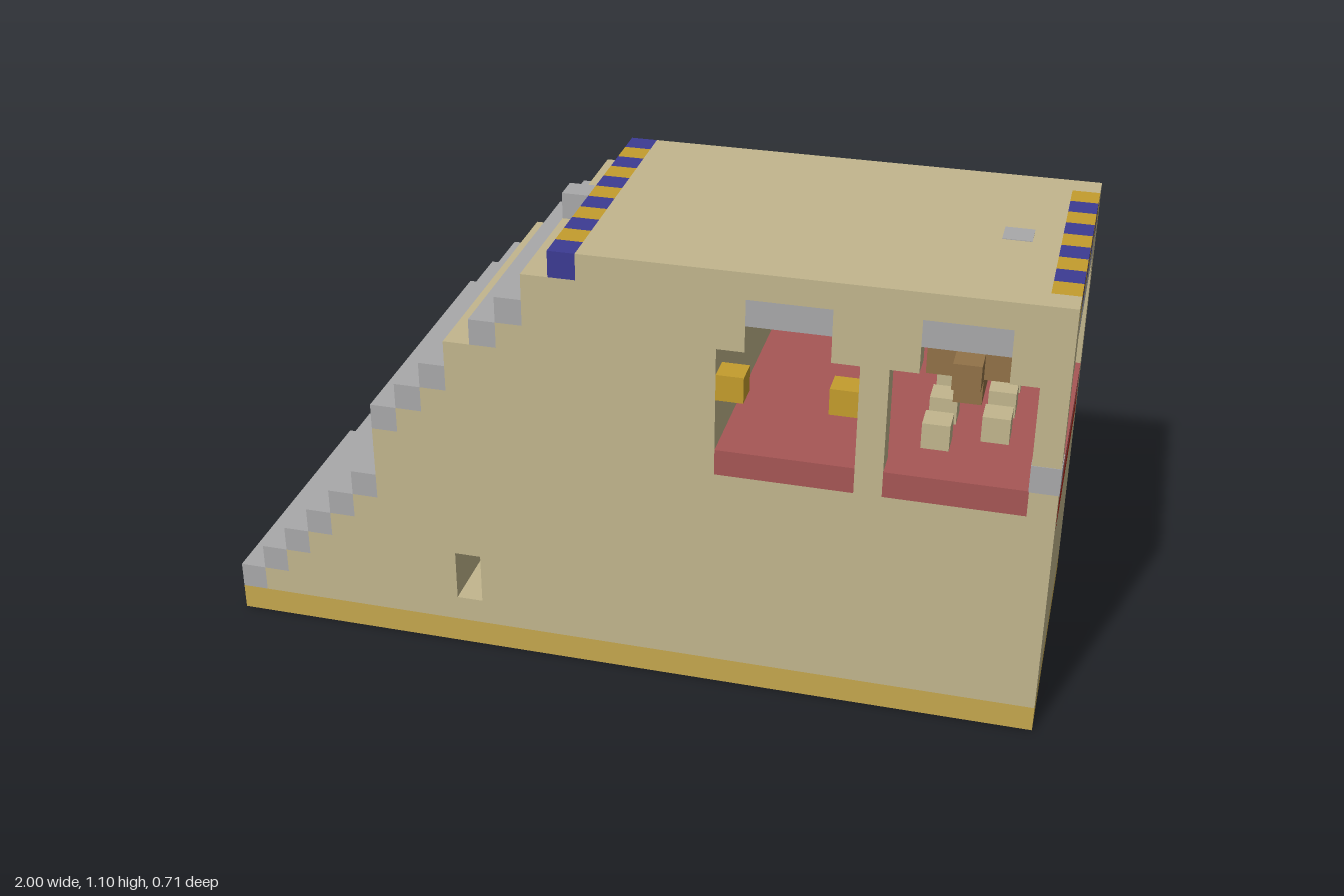
import * as THREE from 'three';

const U = 2 / 31; // one block; the model is 31 x 17 x 11 blocks

const paint = (name, color) => {
  const m = new THREE.MeshStandardMaterial({ color });
  m.name = name;
  return m;
};

export function createModel() {
  const group = new THREE.Group();
  const sand = paint('sandstone', 0xc2b68d);
  const gold = paint('base gold', 0xc6a84e);
  const amber = paint('amber', 0xc49d2d);
  const blue = paint('blue', 0x3c3b93);
  const grey = paint('stone grey', 0xa9a9aa);
  const dark = paint('dark iron', 0x43414d);
  const brown = paint('wood', 0x927248);
  const rose = paint('rose floor', 0xa65655);
  const red = paint('red', 0xae1f0e);

  const add = (name, geo, mat) => {
    const mesh = new THREE.Mesh(geo, mat);
    mesh.name = name;
    group.add(mesh);
    return mesh;
  };
  // Box from block corner (x, y, z) with a size in blocks
  const box = (name, mat, x, y, z, w = 1, h = 1, d = 1, grow = 0) => {
    const mesh = add(name, new THREE.BoxGeometry(w * U + grow, h * U + grow, d * U + grow), mat);
    mesh.position.set((x + w / 2) * U - 1, (y + h / 2) * U, (z + d / 2 - 5.5) * U);
    return mesh;
  };
  const vecs = (pts) => pts.map(([x, y]) => new THREE.Vector2(x * U - 1, y * U));
  // Side profile extruded across the depth
  const slab = (name, pts, holes, z, d) => {
    const shape = new THREE.Shape(vecs(pts));
    holes.forEach((h) => shape.holes.push(new THREE.Path(vecs(h))));
    const geo = new THREE.ExtrudeGeometry(shape, { depth: d * U, bevelEnabled: false });
    geo.translate(0, 0, (z - 5.5) * U);
    add(name, geo, sand);
  };

  // Gold base course
  box('base', gold, 0, 0, 0, 31, 1, 11);

  // Stepped outlines shared by the walls and the core
  const lower = [[1, 1], [1, 2], [2, 2], [2, 3], [3, 3], [3, 4], [4, 4], [4, 5], [5, 5], [5, 6], [6, 6]];
  const middle = [[7, 9], [7, 10], [8, 10], [8, 11], [9, 11]];
  const upper = [[9, 13], [11, 13], [11, 14], [12, 14], [12, 16], [14, 16], [14, 17]];
  const peephole = [[9, 2], [10, 2], [10, 4], [9, 4]];
  const windowHole = (x) => [[0, 9], [5, 9], [5, 14], [4, 14], [4, 16], [1, 16], [1, 14], [0, 14]]
    .map(([a, b]) => [a + x, b]);

  // Side walls
  for (const z of [0, 10]) {
    slab('sideWall', [...lower, [6, 9], ...middle, ...upper, [31, 17], [31, 1]],
      [peephole, windowHole(19), windowHole(25)], z, 1);
  }
  // Core with the slot under the stairs and the space for the room
  slab('core', [...lower, [6, 8], [9, 8], [9, 9], ...middle, ...upper,
    [19, 17], [19, 9], [30, 9], [30, 8], [31, 8], [31, 1]], [peephole], 1, 9);
  box('roof', sand, 19, 16, 1, 11, 1, 9);

  // Stairs
  for (let i = 0; i < 6; i++) box('stairStep', grey, i, i + 1, 0, 1, 1, 11);
  for (const [x, y] of [[6, 9], [7, 10], [8, 11], [10, 13], [11, 14]]) {
    box('stairStep', grey, x, y, 0, 1, 1, 11);
  }
  box('topBlock', grey, 12, 16, 5);

  // Room floor, ceiling and end opening
  box('floor', rose, 19, 9, 1, 12, 1, 9);
  box('endSill', red, 30, 8, 1, 1, 1, 9);
  box('ceiling', grey, 19, 15, 1, 11, 1, 9);
  box('endLintel', grey, 30, 15, 2, 1, 1, 7);
  for (const z of [1, 9]) box('openingShoulder', sand, 30, 14, z, 1, 2, 1);

  // Window sills, lintels and lamps
  for (const z of [0, 10]) {
    for (const x of [19, 25]) {
      box('windowSill', rose, x, 9, z, 5);
      box('windowLintel', grey, x + 1, 15, z, 3);
    }
    for (const x of [19, 23]) box('windowLamp', amber, x, 12, z);
  }

  // Striped trims
  for (let k = 0; k < 11; k++) box('stairTrim', k % 2 ? amber : blue, 13, 16, k);
  for (let k = 1; k < 10; k++) box('endTrim', k % 2 ? amber : blue, 30, 16, k);

  // Grey patches set in the corner and the roof
  box('cornerStone', grey, 30, 10, 10, 1, 1, 1, 0.003);
  box('roofStone', grey, 28, 16, 5, 1, 1, 1, 0.003);

  // Hanging wooden chandelier
  box('chandelierBar', brown, 27, 12, 2, 1, 1, 7);
  for (const z of [2, 8]) {
    box('chandelierChain', dark, 27, 14, z);
    box('chandelierArm', brown, 27, 13, z - 1, 1, 1, 3);
    for (const x of [26, 28]) box('chandelierArm', brown, x, 13, z);
  }

  // Two staggered rows of stools
  for (let k = 2; k < 9; k++) box('stool', sand, k % 2 ? 28 : 26, 10, k);

  return group;
}
